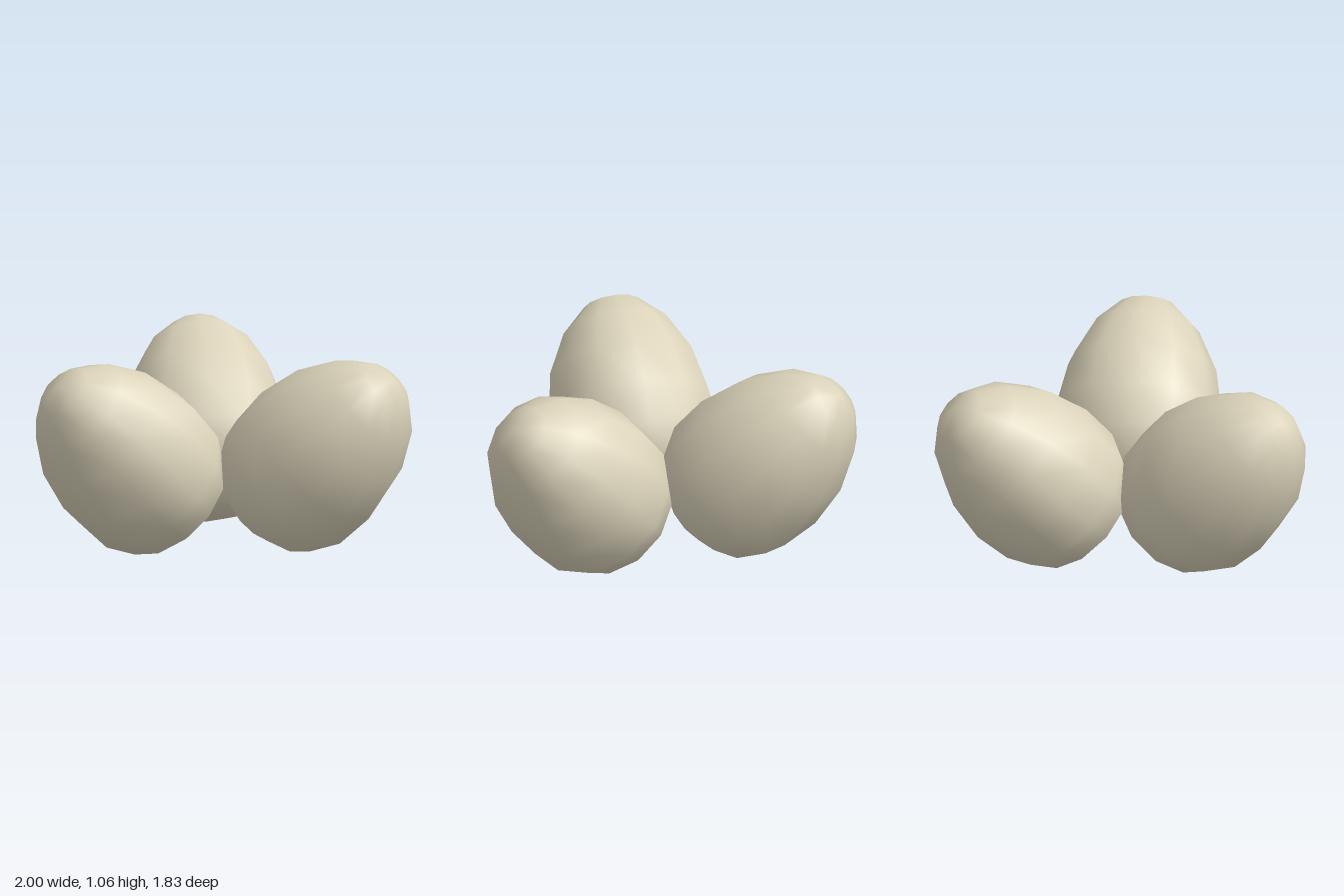
import * as THREE from 'three';
import { mergeVertices } from 'three/addons/utils/BufferGeometryUtils.js';

// Egg profile as [radius, height along the long axis], blunt end first
const PROFILE = [
  [0, -0.587], [0.191, -0.552], [0.346, -0.453], [0.431, -0.283], [0.445, -0.057],
  [0.396, 0.191], [0.286, 0.407], [0.152, 0.541], [0, 0.587],
];

// Low-poly egg with smooth normals, welded at the seam and poles
function eggGeometry() {
  const lathe = new THREE.LatheGeometry(PROFILE.map(([r, h]) => new THREE.Vector2(r, h)), 12);
  lathe.deleteAttribute('normal');
  lathe.deleteAttribute('uv');
  const egg = mergeVertices(lathe, 1e-4);
  egg.computeVertexNormals();
  return egg;
}

export function createModel() {
  const model = new THREE.Group();
  model.name = 'eggCluster';
  const shell = new THREE.MeshStandardMaterial({ color: 0xdbd3ba });
  shell.name = 'eggshell';
  const geometry = eggGeometry();

  // Three eggs whose narrow ends lean outward at 45 degrees
  const eggs = [
    ['backEgg', -0.03, -0.435, Math.PI],
    ['leftEgg', 0.53, 0.47, Math.PI / 3],
    ['rightEgg', -0.53, 0.47, -Math.PI / 3],
  ];
  for (const [name, x, z, yaw] of eggs) {
    const egg = new THREE.Mesh(geometry, shell);
    egg.name = name;
    egg.position.set(x, 0.565, z);
    egg.rotation.set(Math.PI / 4, yaw, 0, 'YXZ');
    model.add(egg);
  }
  return model;
}
